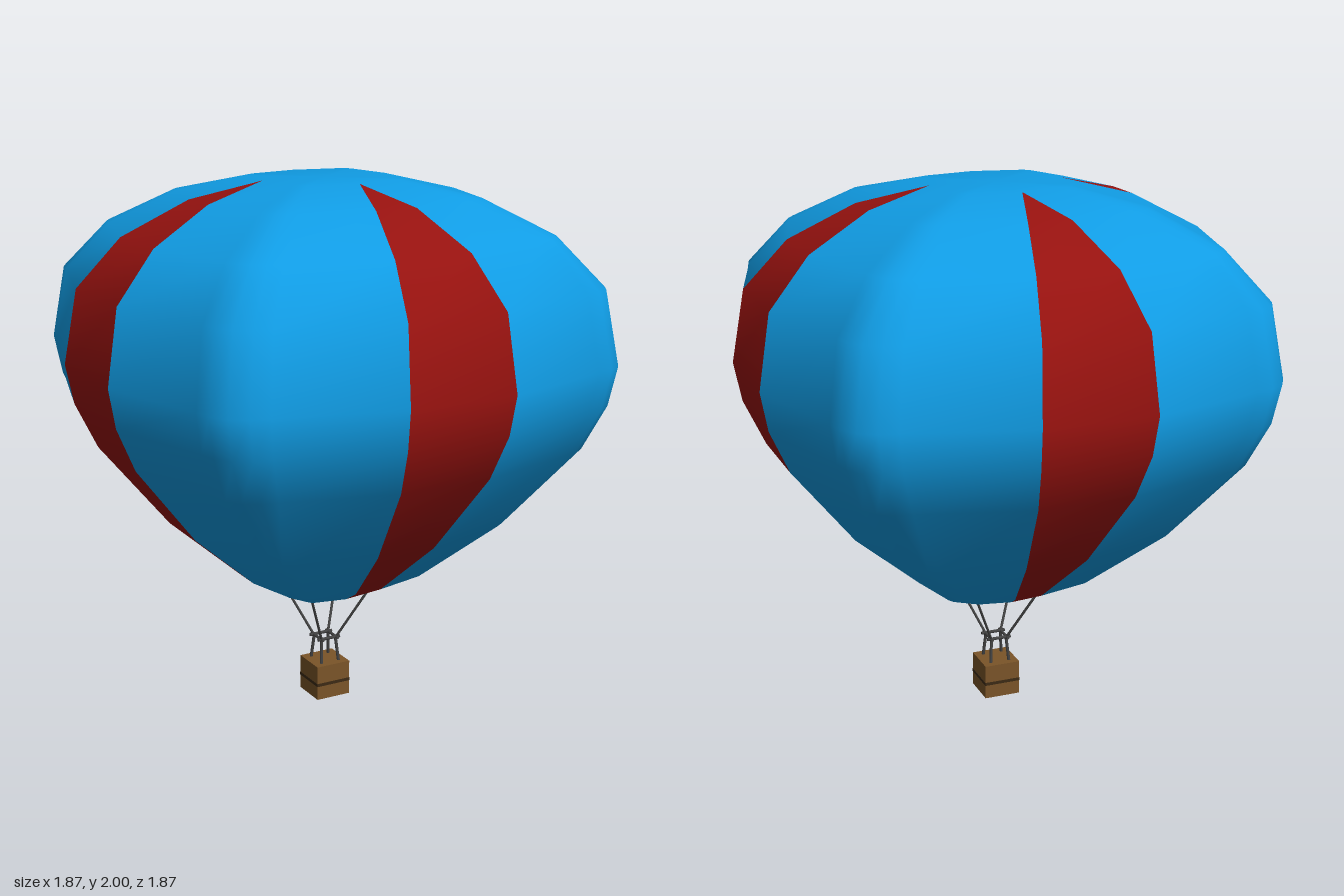
import * as THREE from 'three';
import { mergeVertices } from 'three/addons/utils/BufferGeometryUtils.js';

// Envelope levels: [height, half width, stripe half width]
const LEVELS = [
  [0.435, 0.165, 0], [0.52, 0.33, 0.052], [0.75, 0.59, 0.115], [1.06, 0.835, 0.175],
  [1.225, 0.91, 0.197], [1.37, 0.937, 0.205], [1.64, 0.89, 0.19], [1.815, 0.735, 0.147],
  [1.94, 0.5, 0.08], [2, 0.25, 0],
];
// Rounded corner of the squarish section, as fractions of the half width
const CORNER = [[0.68, 0.868], [0.75, 0.852], [0.812, 0.812], [0.852, 0.75], [0.868, 0.68]];
const PER_SIDE = CORNER.length + 2;

const mat = (color) => new THREE.MeshStandardMaterial({ color });

// One closed ring of points around the envelope; each side starts with its stripe edges
function ring([y, h, s]) {
  const side = [[-s, h], [s, h], ...CORNER.map(([a, b]) => [a * h, b * h])];
  const points = [];
  for (let k = 0; k < 4; k++) {
    for (const [px, pz] of side) {
      let x = px, z = pz;
      for (let r = 0; r < k; r++) [x, z] = [z, -x];
      points.push(new THREE.Vector3(x, y, z));
    }
  }
  return points;
}

function surface(triangles) {
  const g = new THREE.BufferGeometry().setFromPoints(triangles);
  const merged = mergeVertices(g, 1e-4);
  merged.computeVertexNormals();
  return merged;
}

function rod(a, b, radius, material, name) {
  const from = new THREE.Vector3(...a), to = new THREE.Vector3(...b);
  const m = new THREE.Mesh(new THREE.CylinderGeometry(radius, radius, from.distanceTo(to), 6), material);
  m.position.copy(from).lerp(to, 0.5);
  m.quaternion.setFromUnitVectors(new THREE.Vector3(0, 1, 0), to.sub(from).normalize());
  m.name = name;
  return m;
}

export function createModel() {
  const group = new THREE.Group();
  group.name = 'hotAirBalloon';
  const add = (geometry, material, name, y = 0) => {
    const m = new THREE.Mesh(geometry, material);
    m.name = name;
    m.position.y = y;
    group.add(m);
    return m;
  };
  const blue = mat(0x109ce4), red = mat(0x96120f);
  const wicker = mat(0x7a5428), dark = mat(0x3c2a14), rope = mat(0x444444);

  // Envelope skin, split into blue panels and red stripes
  const rings = LEVELS.map(ring);
  const count = rings[0].length;
  const panels = [], stripes = [], bottom = [];
  for (let j = 0; j < rings.length - 1; j++) {
    for (let i = 0; i < count; i++) {
      const n = (i + 1) % count;
      const a = rings[j][i], b = rings[j][n], c = rings[j + 1][n], d = rings[j + 1][i];
      const target = i % PER_SIDE === 0 ? stripes : panels;
      if (a.distanceTo(b) > 1e-6) target.push(a, b, c);
      if (c.distanceTo(d) > 1e-6) target.push(a, c, d);
    }
  }
  // Crown and underside caps
  const crown = rings[rings.length - 1], mouth = rings[0];
  const crownCentre = new THREE.Vector3(0, 2, 0), mouthCentre = new THREE.Vector3(0, mouth[0].y, 0);
  for (let i = 0; i < count; i++) {
    const n = (i + 1) % count;
    if (i % PER_SIDE === 0) continue;
    panels.push(crown[i], crown[n], crownCentre);
    bottom.push(mouth[n], mouth[i], mouthCentre);
  }
  add(surface(panels), blue, 'envelopePanels');
  add(surface(stripes), red, 'envelopeStripes');
  add(surface(bottom), blue, 'envelopeUnderside');

  // Basket with a dark middle band
  add(new THREE.BoxGeometry(0.14, 0.135, 0.14), wicker, 'basket', 0.0675);
  add(new THREE.BoxGeometry(0.143, 0.012, 0.143), dark, 'basketBand', 0.06);

  // Load frame, upper ropes to the envelope and lower ropes to the basket
  const y = 0.23, e = 0.048, f = 0.032;
  for (const s of [-1, 1]) {
    group.add(rod([-e, y, s * f], [e, y, s * f], 0.006, rope, 'loadFrameBar'));
    group.add(rod([s * f, y, -e], [s * f, y, e], 0.006, rope, 'loadFrameBar'));
    for (const t of [-1, 1]) {
      group.add(rod([s * f, y, t * f], [s * 0.135, 0.465, t * 0.135], 0.005, rope, 'upperRope'));
      group.add(rod([s * 0.03, y, t * 0.03], [s * 0.038, 0.13, t * 0.042], 0.006, rope, 'lowerRope'));
    }
  }
  return group;
}
